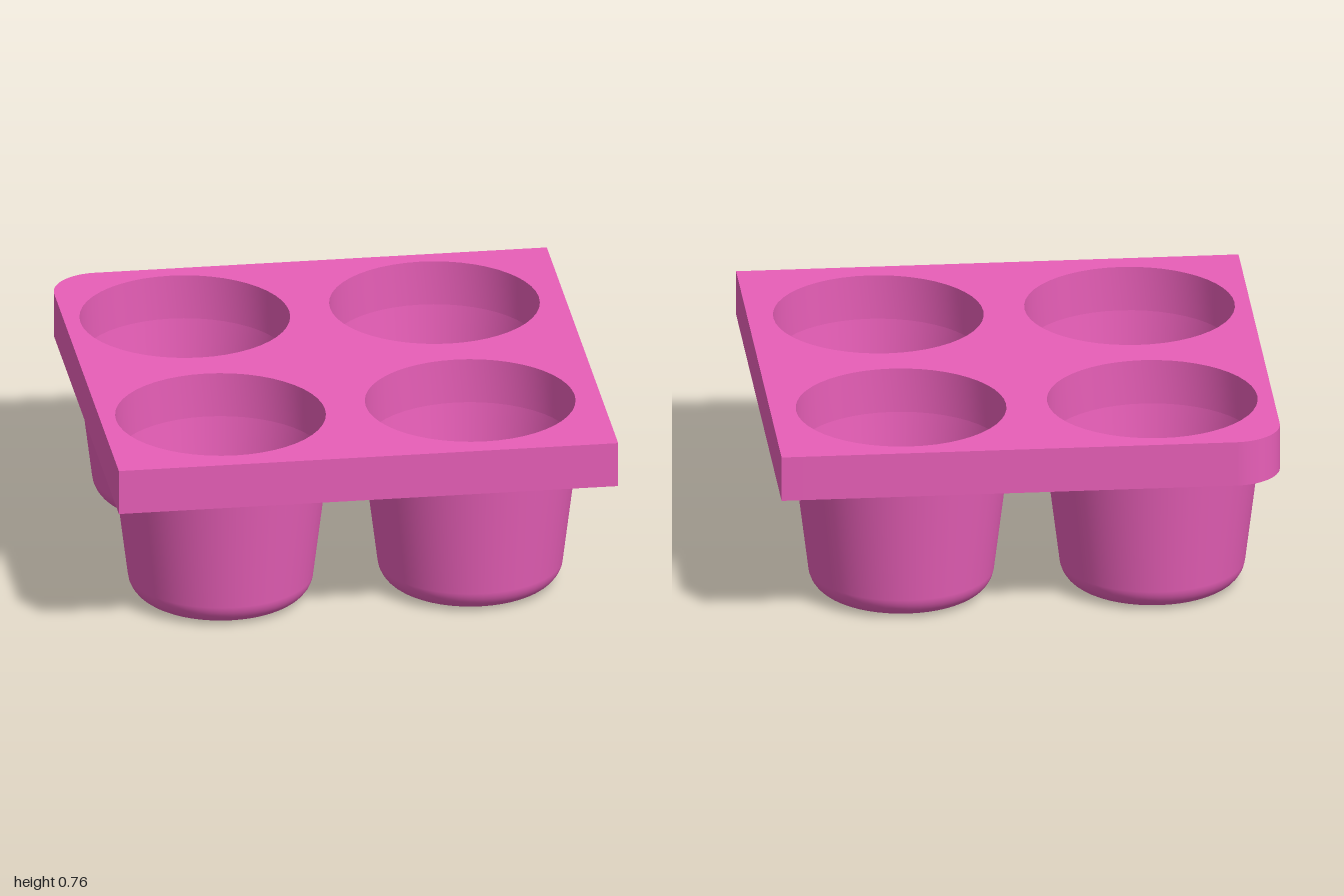
import * as THREE from 'three';
import { toCreasedNormals } from 'three/addons/utils/BufferGeometryUtils.js';

const SEGMENTS = 48;
const PLATE_BOTTOM = 0.58, PLATE_TOP = 0.765;
const HOLE_R = 0.418, CUP_R = 0.43;
const CENTRES = [-0.52, 0.48].flatMap((x) => [-0.51, 0.49].map((z) => [x, z]));

// Tapered cup half-section, from the floor's centre up to the rim, with a rounded foot
function cupProfile(rimR, footR) {
  const cx = 0.269, cy = 0.1, tilt = Math.atan(0.125);
  const points = [new THREE.Vector2(0, cy - footR)];
  for (let i = 0; i <= 10; i++) {
    const t = -Math.PI / 2 + (Math.PI / 2 - tilt) * (i / 10);
    points.push(new THREE.Vector2(cx + footR * Math.cos(t), cy + footR * Math.sin(t)));
  }
  points.push(new THREE.Vector2(rimR, PLATE_BOTTOM));
  return points;
}

// Square plate with one rounded corner and four round openings
function plateGeometry() {
  const r = 0.19;
  const shape = new THREE.Shape();
  shape.moveTo(-1, -1);
  shape.lineTo(1, -1);
  shape.lineTo(1, 1);
  shape.lineTo(-1 + r, 1);
  shape.absarc(-1 + r, 1 - r, r, Math.PI / 2, Math.PI, false);
  shape.closePath();
  for (const [x, z] of CENTRES) {
    const hole = new THREE.Path();
    hole.absarc(x, -z, HOLE_R, 0, Math.PI * 2, true);
    shape.holes.push(hole);
  }
  const geometry = new THREE.ExtrudeGeometry(shape, {
    depth: PLATE_TOP - PLATE_BOTTOM, bevelEnabled: false, curveSegments: SEGMENTS / 2,
  });
  geometry.rotateX(-Math.PI / 2);
  geometry.translate(0, PLATE_BOTTOM, 0);
  return toCreasedNormals(geometry, 0.5);
}

export function createModel() {
  const model = new THREE.Group();
  model.name = 'cupTray';
  const material = new THREE.MeshStandardMaterial({ color: 0xe85fb8 });

  function addMesh(parent, name, geometry) {
    const mesh = new THREE.Mesh(geometry, material);
    mesh.name = name;
    parent.add(mesh);
  }

  addMesh(model, 'plate', plateGeometry());

  // Four cups, each with an outer and an inner wall
  const outer = new THREE.LatheGeometry(cupProfile(CUP_R, 0.1), SEGMENTS);
  const inner = new THREE.LatheGeometry(cupProfile(HOLE_R, 0.088).reverse(), SEGMENTS);
  for (const [x, z] of CENTRES) {
    const cup = new THREE.Group();
    cup.name = `cup${z > 0 ? 'Front' : 'Back'}${x > 0 ? 'Left' : 'Right'}`;
    cup.position.set(x, 0, z);
    addMesh(cup, 'cupOuterWall', outer);
    addMesh(cup, 'cupInnerWall', inner);
    model.add(cup);
  }
  return model;
}
